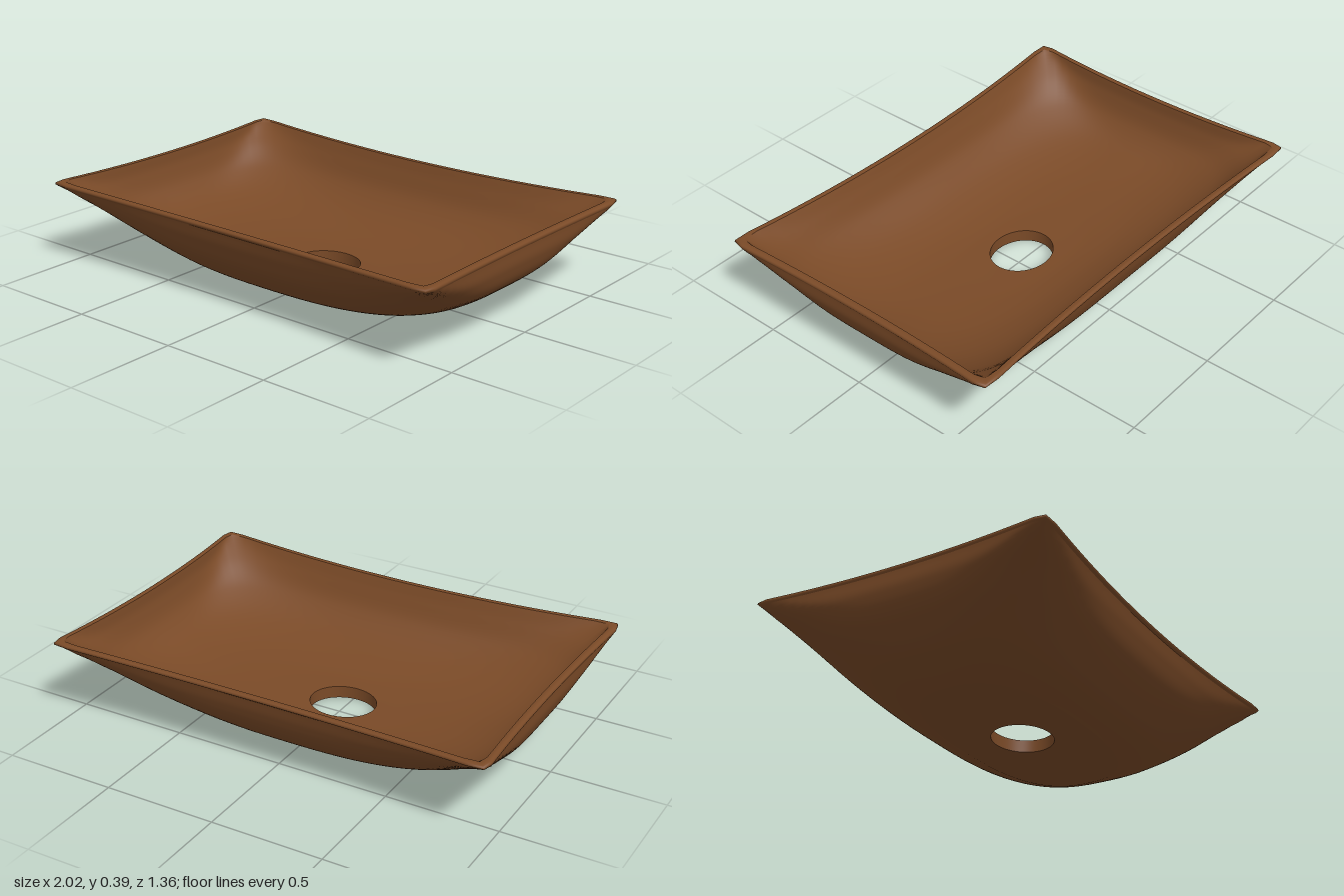
import * as THREE from 'three';

const SIDES = 144;

// One closed ring point. a, b: half width and depth; y: height; n: squareness;
// w: how strongly the corners flare out and rise; cx: offset in x.
function ringPoint(a, b, y, n, w, cx, angle) {
  const c = Math.cos(angle), s = Math.sin(angle);
  const r = Math.pow(Math.abs(c) ** n + Math.abs(s) ** n, -1 / n);
  const u = c * r, v = s * r;
  return [
    cx + a * u * (1 + 0.03 * w * v * v),
    y + w * (0.02 * u * u + 0.012 * v * v),
    b * v * (1 + 0.076 * w * u * u),
  ];
}

// Smooth skin through a few rings [a, b, y, n, w, cx]
function loft(rings, steps) {
  const size = new THREE.CatmullRomCurve3(
    rings.map(([a, b, y]) => new THREE.Vector3(a, b, y)), false, 'catmullrom', 0.5);
  const form = new THREE.CatmullRomCurve3(
    rings.map(([, , , n, w, cx]) => new THREE.Vector3(1 / n, w, cx)), false, 'catmullrom', 0.5);
  const positions = [], index = [];
  for (let j = 0; j <= steps; j++) {
    const p = size.getPoint(j / steps), f = form.getPoint(j / steps);
    for (let i = 0; i < SIDES; i++) {
      const n = 1 / Math.max(f.x, 0.02);
      positions.push(...ringPoint(p.x, p.y, p.z, n, f.y, f.z, (i / SIDES) * Math.PI * 2));
    }
  }
  for (let j = 0; j < steps; j++) {
    for (let i = 0; i < SIDES; i++) {
      const k = (i + 1) % SIDES;
      const a = j * SIDES + i, b = j * SIDES + k;
      const c = a + SIDES, d = b + SIDES;
      index.push(a, c, b, b, c, d);
    }
  }
  const geometry = new THREE.BufferGeometry();
  geometry.setAttribute('position', new THREE.Float32BufferAttribute(positions, 3));
  geometry.setIndex(index);
  geometry.computeVertexNormals();
  return geometry;
}

export function createModel() {
  const group = new THREE.Group();
  group.name = 'vesselBasin';
  const brown = new THREE.MeshStandardMaterial({ color: 0x7a4a27 });
  brown.name = 'brown';

  const add = (name, rings, steps) => {
    const mesh = new THREE.Mesh(loft(rings, steps), brown);
    mesh.name = name;
    group.add(mesh);
  };

  const holeBottom = [0.15, 0.13, 0, 2, 0, -0.02];
  const holeTop = [0.15, 0.13, 0.055, 2, 0, -0.02];
  const foot = [0.585, 0.29, 0, 2.6, 0, -0.02];
  const lipOuter = [0.98, 0.627, 0.335, 50, 1, 0];
  const lipInner = [0.955, 0.612, 0.356, 50, 1, 0];

  // Flat underside around the drain
  add('base', [holeBottom, foot], 4);

  // Curved outside, oval at the foot and square at the rim
  add('outerWall', [
    foot,
    [0.7, 0.395, 0.045, 2.7, 0.03, -0.015],
    [0.81, 0.475, 0.1, 2.9, 0.08, -0.01],
    [0.93, 0.565, 0.19, 3.6, 0.2, 0],
    [0.973, 0.607, 0.27, 6.5, 0.5, 0],
    lipOuter,
  ], 40);

  // Rounded lip
  add('rim', [
    lipOuter,
    [0.985, 0.638, 0.345, 50, 1, 0],
    [0.982, 0.637, 0.354, 50, 1, 0],
    [0.97, 0.628, 0.358, 50, 1, 0],
    lipInner,
  ], 12);

  // Inside of the bowl, running down to the drain
  add('innerBowl', [
    lipInner,
    [0.945, 0.587, 0.295, 9, 0.6, 0],
    [0.905, 0.54, 0.21, 5, 0.25, 0],
    [0.81, 0.45, 0.135, 3.5, 0.1, 0],
    [0.64, 0.335, 0.086, 2.8, 0, 0],
    [0.4, 0.225, 0.062, 2.3, 0, -0.01],
    holeTop,
  ], 48);

  // Wall of the drain hole
  add('drainWall', [holeTop, holeBottom], 2);

  return group;
}
